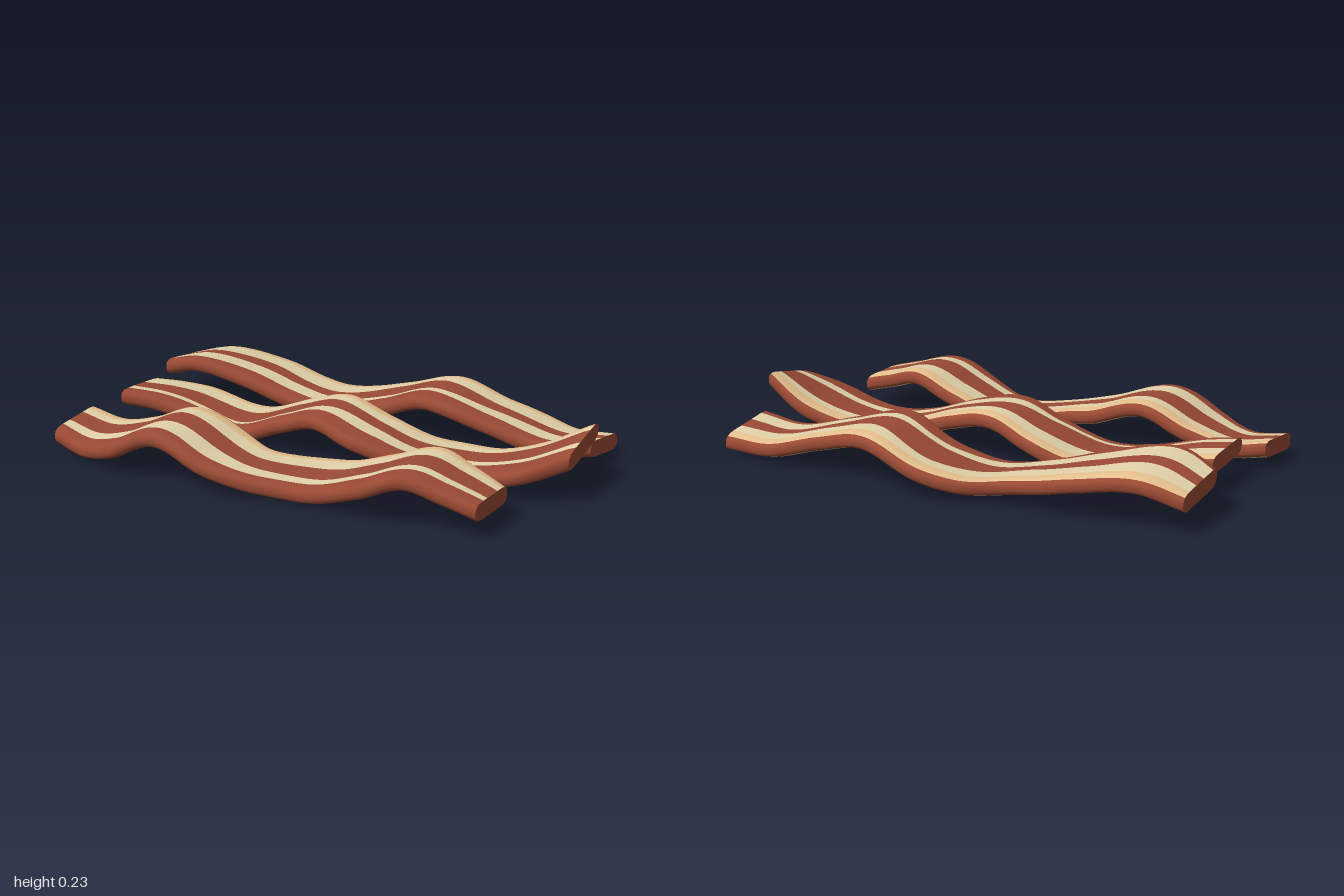
import * as THREE from 'three';

const mat = (name, color) => new THREE.MeshStandardMaterial({ name, color });

// Smooth curve through [x, value] pairs
function curve(pts) {
  const slope = i => {
    const a = pts[Math.max(i - 1, 0)], b = pts[Math.min(i + 1, pts.length - 1)];
    return (b[1] - a[1]) / (b[0] - a[0]);
  };
  return x => {
    let i = 0;
    while (i < pts.length - 2 && x > pts[i + 1][0]) i++;
    const [x0, v0] = pts[i], [x1, v1] = pts[i + 1], h = x1 - x0, t = (x - x0) / h;
    const t2 = t * t, t3 = t2 * t;
    return v0 * (2 * t3 - 3 * t2 + 1) + v1 * (3 * t2 - 2 * t3)
      + h * (slope(i) * (t3 - 2 * t2 + t) + slope(i + 1) * (t3 - t2));
  };
}

const SEGMENTS = 80, HALF_THICK = 0.033;
const RED = 0, CREAM = 1, PEACH = 2;
// Colour of each lengthwise band, from back rim to front rim
const BANDS = [RED, RED, PEACH, PEACH, CREAM, RED, CREAM, RED, RED, RED];
const HEIGHTS = [0.3, 0.6, 0.77, 0.93, 1, 1, 1, 1, 0.92, 0.67, 0.3];

// Wavy ribbon lofted from rounded flat cross-sections
function stripGeometry({ back, front, height, tilt, bands }) {
  const zBack = curve(back), zFront = curve(front), yMid = curve(height), yTilt = curve(tilt);
  const edges = [1, 2, 3].map(n => curve(bands.map(b => [b[0], b[n]])));
  const xMin = back[0][0], xMax = back[back.length - 1][0];
  const pos = [], K = HEIGHTS.length * 2;

  for (let i = 0; i <= SEGMENTS; i++) {
    const x = xMin + (xMax - xMin) * i / SEGMENTS;
    const s = (yMid(Math.min(x + 0.01, xMax)) - yMid(Math.max(x - 0.01, xMin))) / 0.02;
    const half = HALF_THICK * Math.sqrt(1 + s * s);
    const fs = [0, 0.02, 0.05, 0.1, 0.18, ...edges.map(e => e(x)), 0.92, 0.975, 1];
    const point = (f, side) => pos.push(x,
      yMid(x) + yTilt(x) * (0.5 - f) + side * half * HEIGHTS[fs.indexOf(f)],
      zBack(x) + (zFront(x) - zBack(x)) * f);
    fs.forEach(f => point(f, 1));
    [...fs].reverse().forEach(f => point(f, -1));
  }

  // Sort the faces by colour
  const faces = [[], [], []];
  const columns = [...BANDS, RED, ...[...BANDS].reverse(), RED];
  for (let i = 0; i < SEGMENTS; i++) {
    columns.forEach((c, k) => {
      const a = i * K + k, b = i * K + (k + 1) % K;
      faces[c].push(a, b, a + K, b, b + K, a + K);
    });
  }

  // Flat cut ends
  for (const [ring, flip] of [[0, true], [SEGMENTS, false]]) {
    const base = pos.length / 3;
    pos.push(...pos.slice(ring * K * 3, (ring + 1) * K * 3));
    for (let k = 0; k < K / 2 - 1; k++) {
      const a = base + k, b = a + 1, c = base + K - 2 - k, d = c + 1;
      faces[RED].push(...(flip ? [a, c, b, a, d, c] : [a, b, c, a, c, d]));
    }
  }

  const geo = new THREE.BufferGeometry();
  geo.setAttribute('position', new THREE.Float32BufferAttribute(pos, 3));
  geo.setIndex(faces.flat());
  let start = 0;
  faces.forEach((f, c) => { geo.addGroup(start, f.length, c); start += f.length; });
  geo.computeVertexNormals();
  return geo;
}

// Edge outlines, wave heights, sideways tilt and stripe boundaries of each strip
const STRIPS = {
  frontStrip: {
    back: [[-0.98, 0.26], [-0.8, 0.26], [-0.6, 0.25], [-0.4, 0.265], [-0.25, 0.28], [-0.1, 0.33], [0, 0.3],
      [0.15, 0.235], [0.4, 0.225], [0.6, 0.25], [0.72, 0.28], [0.86, 0.325]],
    front: [[-0.98, 0.53], [-0.8, 0.58], [-0.6, 0.655], [-0.4, 0.645], [-0.24, 0.66], [-0.05, 0.63], [0.1, 0.59],
      [0.25, 0.585], [0.48, 0.635], [0.65, 0.6], [0.86, 0.585]],
    height: [[-0.98, 0.073], [-0.82, 0.049], [-0.65, 0.09], [-0.45, 0.165], [-0.2, 0.092], [0, 0.053], [0.2, 0.045],
      [0.4, 0.108], [0.57, 0.17], [0.72, 0.135], [0.86, 0.097]],
    tilt: [[-0.98, 0.028], [-0.8, 0.026], [-0.45, 0.005], [0, 0.015], [0.2, 0.018], [0.57, 0.005], [0.86, -0.005]],
    bands: [[-0.98, 0.33, 0.64, 0.8], [-0.6, 0.29, 0.59, 0.8], [-0.24, 0.36, 0.62, 0.85], [0.1, 0.41, 0.71, 0.86],
      [0.48, 0.37, 0.67, 0.8], [0.86, 0.32, 0.64, 0.76]],
  },
  middleStrip: {
    back: [[-0.92, -0.11], [-0.8, -0.15], [-0.68, -0.195], [-0.5, -0.18], [-0.25, -0.22], [-0.05, -0.18],
      [0.1, -0.13], [0.25, -0.11], [0.35, -0.12], [0.5, -0.17], [0.65, -0.175], [0.85, -0.205], [1, -0.18]],
    front: [[-0.92, 0.17], [-0.7, 0.125], [-0.55, 0.125], [-0.4, 0.155], [-0.2, 0.14], [0, 0.19], [0.15, 0.235],
      [0.3, 0.215], [0.5, 0.175], [0.7, 0.18], [0.85, 0.185], [1, 0.105]],
    height: [[-0.92, 0.122], [-0.8, 0.112], [-0.6, 0.07], [-0.4, 0.048], [-0.2, 0.112], [-0.02, 0.165], [0.2, 0.122],
      [0.4, 0.062], [0.6, 0.047], [0.8, 0.092], [1, 0.183]],
    tilt: [[-0.92, -0.015], [-0.5, 0.005], [0, 0], [0.5, 0], [0.8, 0.013], [1, 0.055]],
    bands: [[-0.92, 0.42, 0.68, 0.82], [-0.7, 0.4, 0.7, 0.79], [-0.25, 0.38, 0.75, 0.82], [0.1, 0.32, 0.52, 0.73],
      [0.35, 0.38, 0.6, 0.79], [0.7, 0.28, 0.62, 0.73], [1, 0.29, 0.63, 0.77]],
  },
  backStrip: {
    back: [[-1, -0.555], [-0.8, -0.585], [-0.55, -0.605], [-0.3, -0.58], [-0.15, -0.64], [0, -0.67], [0.2, -0.64],
      [0.45, -0.575], [0.65, -0.58], [0.8, -0.555], [0.94, -0.55]],
    front: [[-1, -0.265], [-0.9, -0.21], [-0.8, -0.2], [-0.6, -0.225], [-0.3, -0.25], [-0.1, -0.28], [0.1, -0.285],
      [0.3, -0.22], [0.5, -0.235], [0.75, -0.25], [0.94, -0.27]],
    height: [[-1, 0.122], [-0.82, 0.168], [-0.6, 0.133], [-0.4, 0.082], [-0.2, 0.051], [0, 0.088], [0.25, 0.165],
      [0.5, 0.113], [0.75, 0.051], [0.94, 0.066]],
    tilt: [[-1, -0.03], [-0.8, -0.035], [-0.4, 0], [-0.2, 0.012], [0, 0.005], [0.25, -0.01], [0.7, -0.008],
      [0.94, -0.043]],
    bands: [[-1, 0.38, 0.6, 0.88], [-0.8, 0.42, 0.6, 0.85], [-0.6, 0.37, 0.58, 0.8], [-0.3, 0.43, 0.61, 0.83],
      [0, 0.3, 0.67, 0.77], [0.3, 0.36, 0.64, 0.76], [0.65, 0.42, 0.59, 0.82], [0.94, 0.36, 0.6, 0.83]],
  },
};

export function createModel() {
  const model = new THREE.Group();
  model.name = 'baconStrips';
  const materials = [mat('lean red', 0x9a4a34), mat('cream fat', 0xe2d2aa), mat('peach fat', 0xe6c08e)];
  for (const [name, data] of Object.entries(STRIPS)) {
    const strip = new THREE.Mesh(stripGeometry(data), materials);
    strip.name = name;
    model.add(strip);
  }
  return model;
}
